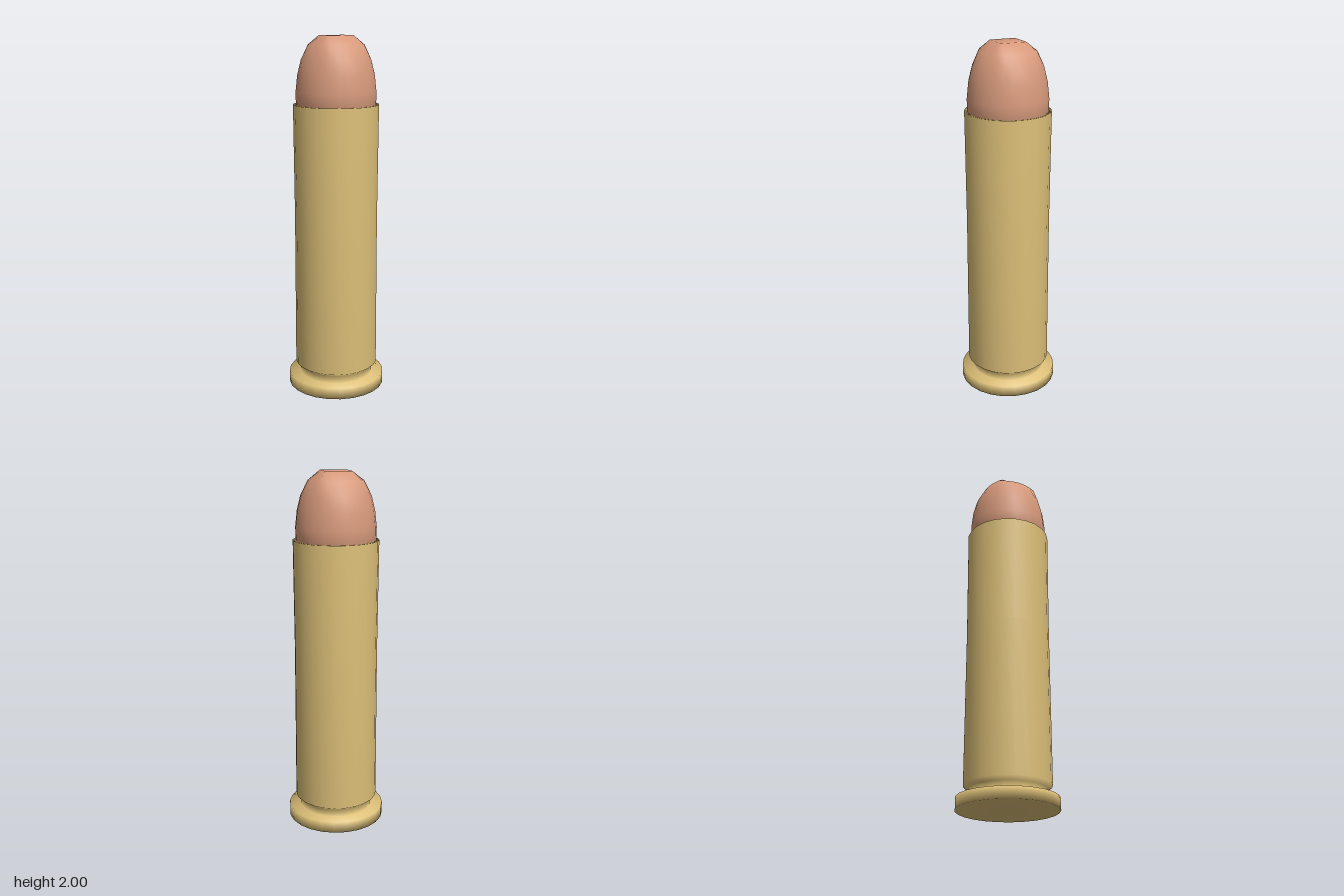
import * as THREE from 'three';
import { mergeVertices } from 'three/addons/utils/BufferGeometryUtils.js';

const SIDES = 24;

// Smooth, seamless turned shape; profile runs from bottom to top as [radius, height]
function turned(profile, reshape) {
  let geo = new THREE.LatheGeometry(profile.map(([r, y]) => new THREE.Vector2(r, y)), SIDES);
  geo.deleteAttribute('uv');
  geo.deleteAttribute('normal');
  if (reshape) reshape(geo.attributes.position);
  geo = mergeVertices(geo, 1e-5);
  geo.computeVertexNormals();
  return geo;
}

// The nose becomes squarer towards its flat tip
function squareTip(pos) {
  for (let i = 0; i < pos.count; i++) {
    const x = pos.getX(i), y = pos.getY(i), z = pos.getZ(i);
    const r = Math.hypot(x, z);
    if (r < 1e-4 || y < 1.9) continue;
    const square = r / Math.max(Math.abs(x), Math.abs(z)) - 1;
    const k = 1 + square * (y > 1.99 ? 1 : 0.25);
    pos.setXYZ(i, x * k, y, z * k);
  }
}

export function createModel() {
  const group = new THREE.Group();
  const brass = new THREE.MeshStandardMaterial({ color: 0xdcbf78 });
  brass.name = 'brass';
  const copper = new THREE.MeshStandardMaterial({ color: 0xd6997b });
  copper.name = 'copper';

  const add = (name, geo, mat) => {
    const mesh = new THREE.Mesh(geo, mat);
    mesh.name = name;
    group.add(mesh);
  };

  // Casing: flat base, rim, groove, long wall and open mouth
  add('casing', turned([
    [0, 0], [0.275, 0], [0.275, 0.065], [0.208, 0.065], [0.208, 0.11],
    [0.236, 0.13], [0.233, 1.0], [0.237, 1.63], [0.224, 1.63], [0.22, 1.56],
  ]), brass);

  // Nose: rounded with a small flat tip
  add('nose', turned([
    [0.2, 1.58], [0.221, 1.63], [0.222, 1.7], [0.212, 1.79], [0.192, 1.87],
    [0.15, 1.95], [0.073, 2], [0, 2],
  ], squareTip), copper);

  return group;
}
